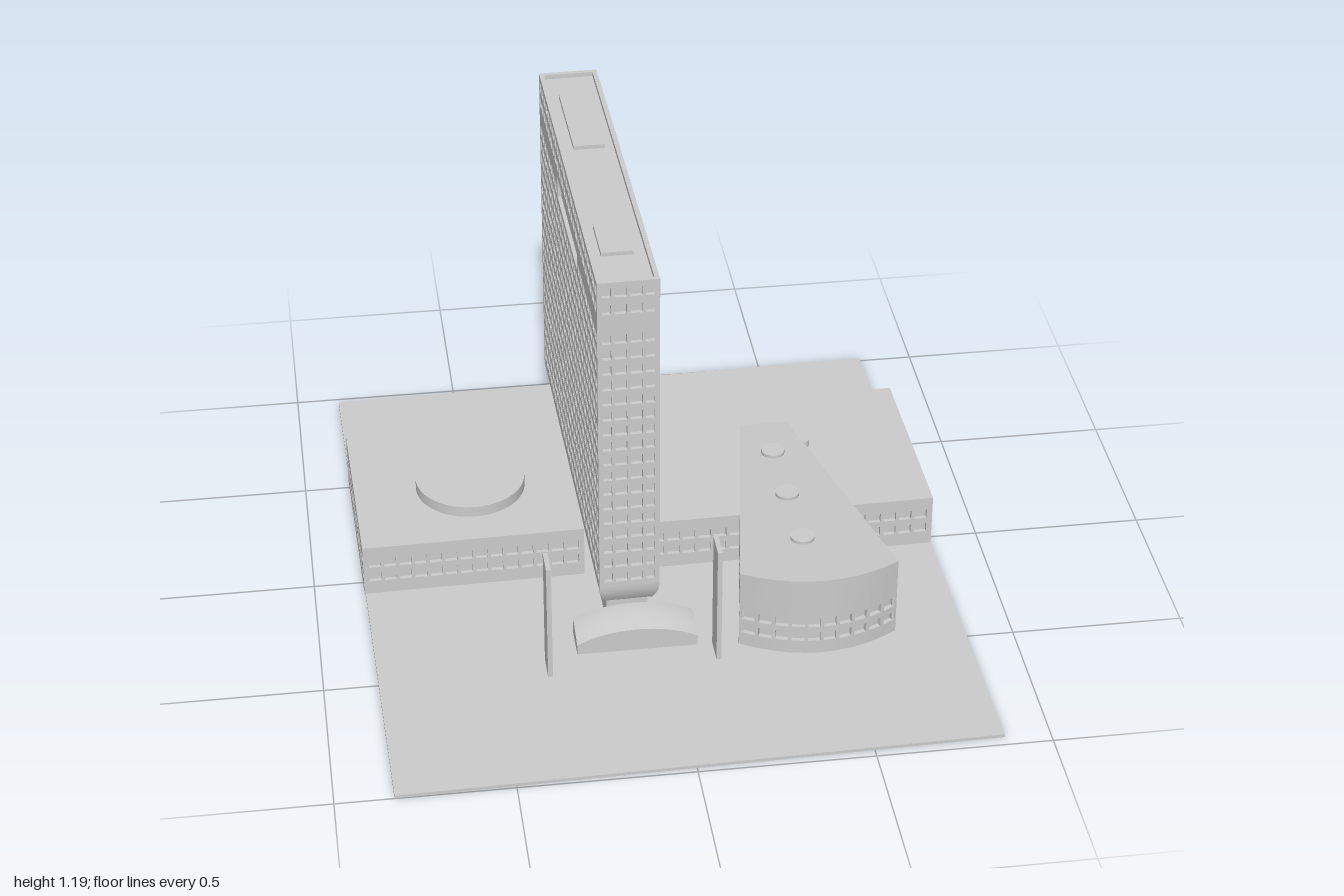
import * as THREE from 'three';
import { mergeGeometries, toCreasedNormals } from 'three/addons/utils/BufferGeometryUtils.js';

const MAT = new THREE.MeshStandardMaterial({ color: 0xcccccc });
const GROUND = 0.01;
const DEPTH = 0.014; // window recess
const WIN_H = 0.03;

function mesh(name, geometry, parent, x = 0, y = 0, z = 0) {
  const m = new THREE.Mesh(geometry, MAT);
  m.name = name;
  m.position.set(x, y, z);
  parent.add(m);
  return m;
}

function box(name, parent, x0, x1, y0, y1, z0, z1) {
  const g = new THREE.BoxGeometry(x1 - x0, y1 - y0, z1 - z0);
  return mesh(name, g, parent, (x0 + x1) / 2, (y0 + y1) / 2, (z0 + z1) / 2);
}

// Prism over a plan outline of [x, z] points; top is a function of z
function prism(outline, bottom, top) {
  const shape = new THREE.Shape(outline.map(([x, z]) => new THREE.Vector2(x, -z)));
  const g = new THREE.ExtrudeGeometry(shape, { depth: 1, bevelEnabled: false });
  g.rotateX(-Math.PI / 2);
  const p = g.attributes.position;
  for (let i = 0; i < p.count; i++) {
    const z = p.getZ(i);
    p.setY(i, p.getY(i) > 0.5 ? top(z) : bottom(z));
  }
  g.computeVertexNormals();
  return g;
}

// Grid of window openings [s0, s1, y0, y1] between s = from and s = to
function windows(from, to, count, heads) {
  const pitch = (to - from) / count, list = [];
  for (const head of heads)
    for (let i = 0; i < count; i++) {
      const s = from + (i + 0.5) * pitch;
      list.push([s - pitch * 0.39, s + pitch * 0.39, head - WIN_H, head]);
    }
  return list;
}

// Pierced wall from plan point a to b, outer face on the line, thickness inward
function wall(a, b, y0, topA, topB, openings) {
  const len = Math.hypot(b[0] - a[0], b[1] - a[1]);
  const rect = (s0, s1, l, h0, h1) => [[s0, l], [s1, l], [s1, h1], [s0, h0]].map(q => new THREE.Vector2(...q));
  const shape = new THREE.Shape(rect(0, len, y0, topA, topB));
  for (const [s0, s1, l, h] of openings) shape.holes.push(new THREE.Path(rect(s0, s1, l, h, h).reverse()));
  const g = new THREE.ExtrudeGeometry(shape, { depth: DEPTH, bevelEnabled: false });
  g.translate(0, 0, -DEPTH);
  g.rotateY(Math.atan2(a[1] - b[1], b[0] - a[0]));
  g.translate(a[0], 0, a[1]);
  return g;
}

// Outline shrunk about its middle so that each side moves in by d
function inset(outline, d) {
  const range = k => {
    const v = outline.map(p => p[k]);
    return [(Math.min(...v) + Math.max(...v)) / 2, (Math.max(...v) - Math.min(...v)) / 2];
  };
  const [cx, hx] = range(0), [cz, hz] = range(1);
  return outline.map(([x, z]) => [cx + (x - cx) * (1 - d / hx), cz + (z - cz) * (1 - d / hz)]);
}

// Walls around an outline; openingsFor(i, length) gives the windows of side i
function walls(outline, y0, top, openingsFor) {
  return mergeGeometries(outline.map((a, i) => {
    const b = outline[(i + 1) % outline.length];
    const len = Math.hypot(b[0] - a[0], b[1] - a[1]);
    return wall(a, b, y0, top(a[1]), top(b[1]), openingsFor(i, len));
  }));
}

function addTower(root) {
  const tower = new THREE.Group();
  tower.name = 'tower';
  root.add(tower);
  const outline = [[-0.19, 0.345], [-0.015, 0.342], [-0.037, -0.892], [-0.212, -0.889]];
  const heads = [1.172, 1.118];
  for (let i = 0; i < 17; i++) heads.push(1.022 - i * 0.0505);
  mesh('towerWalls', walls(outline, 0.165, () => 1.19, (i, len) => {
    if (i % 2 === 0) return windows(0, len, 4, heads);
    // long sides have one wide opening that replaces part of a row
    const panel = [0.405, 0.83, 0.992, 1.06];
    return windows(0, len, 25, heads)
      .filter(([s0, s1, , h]) => Math.abs(h - 1.022) > 0.01 || s1 < panel[0] || s0 > panel[1])
      .concat([panel]);
  }), tower);
  mesh('towerCore', prism(inset(outline, DEPTH - 0.001), () => 0.165, () => 1.176), tower);

  // Tapering underside, rounded inward toward the pedestal
  const W = 0.175, L = 1.233, H = 0.06;
  const g = new THREE.BoxGeometry(W, H, L, 1, 6, 1);
  const p = g.attributes.position;
  for (let i = 0; i < p.count; i++) {
    const d = 0.018 * (0.5 - p.getY(i) / H) ** 2;
    p.setX(i, p.getX(i) * (1 - 2 * d / W));
    p.setZ(i, p.getZ(i) * (1 - 2 * d / L));
  }
  g.computeVertexNormals();
  const under = mesh('towerUnderside', g, tower, -0.1135, 0.135, -0.2735);
  const pedestal = box('pedestal', tower, -0.175, -0.055, GROUND, 0.106, -0.86, 0.3);
  under.rotation.y = pedestal.rotation.y = 0.0178;

  for (const [z0, z1, x] of [[-0.75, -0.43, -0.118], [0.02, 0.18, -0.113]])
    box('roofPlant', tower, x - 0.046, x + 0.046, 1.17, 1.188, z0, z1).rotation.y = 0.0178;
}

function addPodium(root, name, outline, blankSide) {
  const group = new THREE.Group();
  group.name = name;
  root.add(group);
  mesh(name + 'Walls', walls(outline, GROUND, () => 0.163, (i, len) =>
    i === blankSide ? [] : windows(0.012, len - 0.012, Math.round(len / 0.047), [0.132, 0.083])), group);
  mesh(name + 'Core', prism(inset(outline, DEPTH - 0.001), () => GROUND, () => 0.165), group);
  mesh(name + 'Roof', prism(outline, () => 0.163, () => 0.173), group);
}

function addHall(root) {
  const hall = new THREE.Group();
  hall.name = 'hall';
  root.add(hall);
  const roofY = z => 0.185 + (z + 0.405) * 0.085;
  const under = z => roofY(z) - 0.008;
  // Wedge plan with a bowed front
  const SEG = 10, outline = [];
  for (let i = 0; i <= SEG; i++) {
    const t = (i / SEG) * 2 - 1;
    outline.push([0.43 + 0.23 * t, 0.457 + 0.073 * (1 - t * t)]);
  }
  outline.push([0.485, -0.405], [0.34, -0.405]);
  const heads = [0.132, 0.083];
  const shell = walls(outline, GROUND, under, (i, len) => {
    if (i < SEG) return windows(0, len, 1, heads);
    if (i === SEG) return windows(0.02, 0.36, 6, heads);
    return i === SEG + 2 ? windows(len - 0.36, len - 0.02, 6, heads) : [];
  });
  mesh('hallWalls', toCreasedNormals(shell, 0.3), hall);
  mesh('hallCore', prism(inset(outline, DEPTH - 0.001), () => GROUND, under), hall);
  mesh('hallRoof', toCreasedNormals(prism(outline, under, roofY), 0.3), hall);
  for (const z of [-0.22, 0.035, 0.29])
    mesh('roofVent', new THREE.CylinderGeometry(0.035, 0.035, 0.024, 32), hall, 0.41, roofY(z), z);
  mesh('sideStack', new THREE.CylinderGeometry(0.02, 0.02, 0.03, 24), hall, 0.515, 0.18, -0.292);
}

function addCanopy(root) {
  // Arched entrance block whose top falls away toward the front
  const shape = new THREE.Shape();
  shape.moveTo(-0.175, 0);
  shape.lineTo(0.175, 0);
  shape.lineTo(0.175, 0.05);
  shape.quadraticCurveTo(0.1, 0.09, 0, 0.09);
  shape.quadraticCurveTo(-0.1, 0.09, -0.175, 0.05);
  const g = new THREE.ExtrudeGeometry(shape, { depth: 0.105, steps: 3, bevelEnabled: false, curveSegments: 12 });
  const p = g.attributes.position;
  for (let i = 0; i < p.count; i++) {
    const drop = Math.max(0, (p.getZ(i) - 0.035) / 0.07) * 0.018;
    if (p.getY(i) > 0.01) p.setY(i, p.getY(i) - drop);
  }
  mesh('entranceCanopy', toCreasedNormals(g, 0.3), root, -0.093, GROUND, 0.34);
}

export function createModel() {
  const root = new THREE.Group();
  root.name = 'officeComplex';

  // Site slab
  const site = [[-0.835, 1], [0.87, 0.967], [0.833, -1], [-0.87, -0.968]];
  mesh('groundSlab', prism(site, () => 0, () => GROUND), root);

  addTower(root);
  addPodium(root, 'rightPodium', [[-0.855, 0.07], [-0.2, 0.058], [-0.21, -0.535], [-0.866, -0.523]], 1);
  addPodium(root, 'leftPodium', [[-0.015, 0.055], [0.852, 0.042], [0.842, -0.568], [-0.025, -0.553]], 3);
  mesh('podiumDisc', new THREE.CylinderGeometry(0.163, 0.163, 0.04, 64), root, -0.512, 0.187, -0.212);
  addHall(root);
  addCanopy(root);

  // Freestanding pylons
  box('pylon', root, -0.363, -0.349, GROUND, 0.385, 0.455, 0.538);
  box('pylon', root, 0.125, 0.139, GROUND, 0.385, 0.44, 0.522);
  return root;
}
